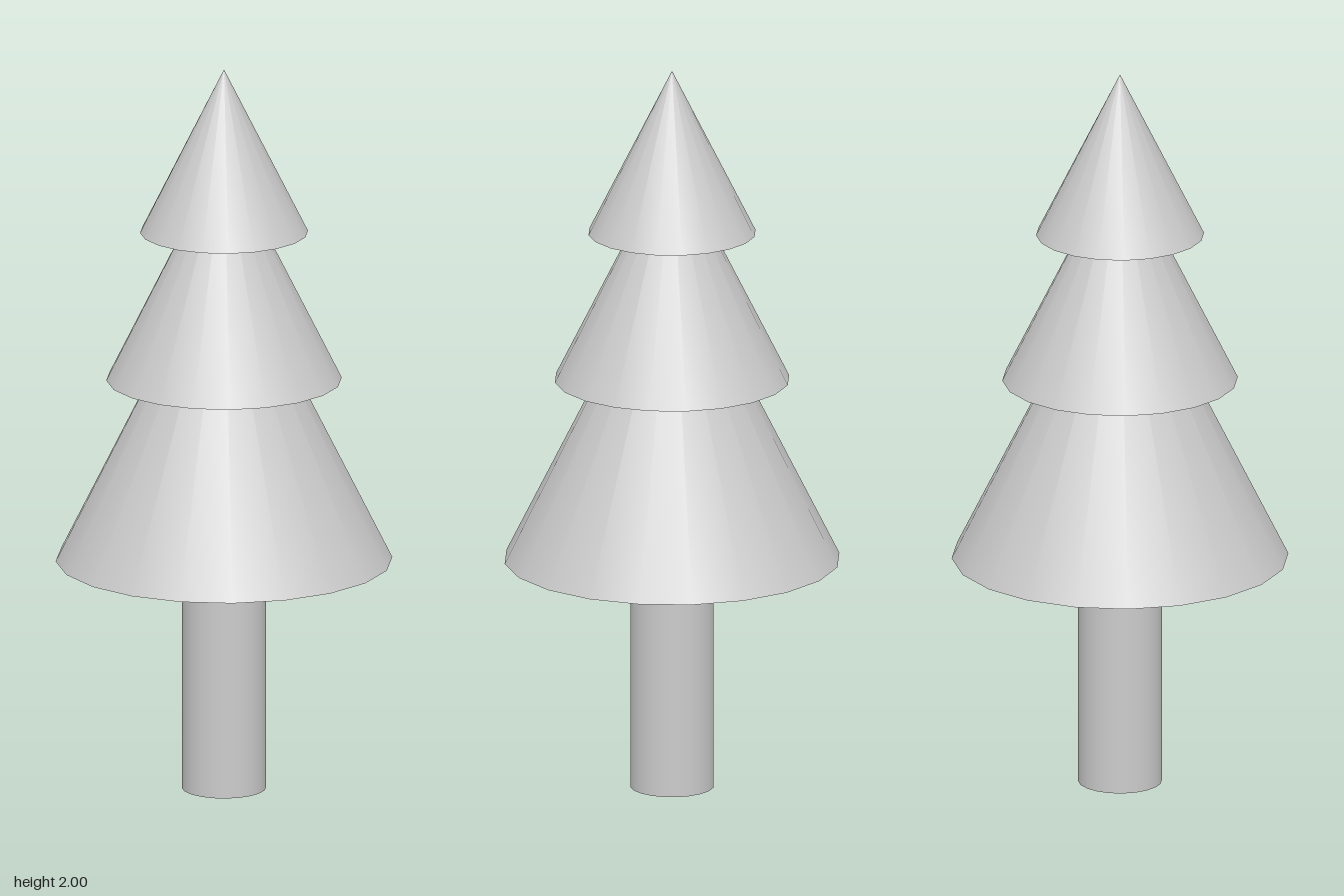
import * as THREE from 'three';

const SIDES = 20;

export function createModel() {
  const tree = new THREE.Group();
  tree.name = 'pineTree';
  const material = new THREE.MeshStandardMaterial({ color: 0xcccccc });

  const add = (name, geometry, baseY, height) => {
    const mesh = new THREE.Mesh(geometry, material);
    mesh.name = name;
    mesh.position.y = baseY + height / 2;
    tree.add(mesh);
  };

  // Trunk, ending just inside the lowest tier
  const trunkHeight = 0.65;
  add('trunk', new THREE.CylinderGeometry(0.113, 0.113, trunkHeight, SIDES), 0, trunkHeight);

  // Foliage: overlapping closed cones, all with the same slope
  const tiers = [
    { name: 'lowerFoliage', baseY: 0.636, radius: 0.453, height: 0.907 },
    { name: 'middleFoliage', baseY: 1.138, radius: 0.317, height: 0.635 },
    { name: 'upperFoliage', baseY: 1.548, radius: 0.226, height: 0.452 },
  ];
  for (const { name, baseY, radius, height } of tiers) {
    add(name, new THREE.ConeGeometry(radius, height, SIDES), baseY, height);
  }

  return tree;
}
